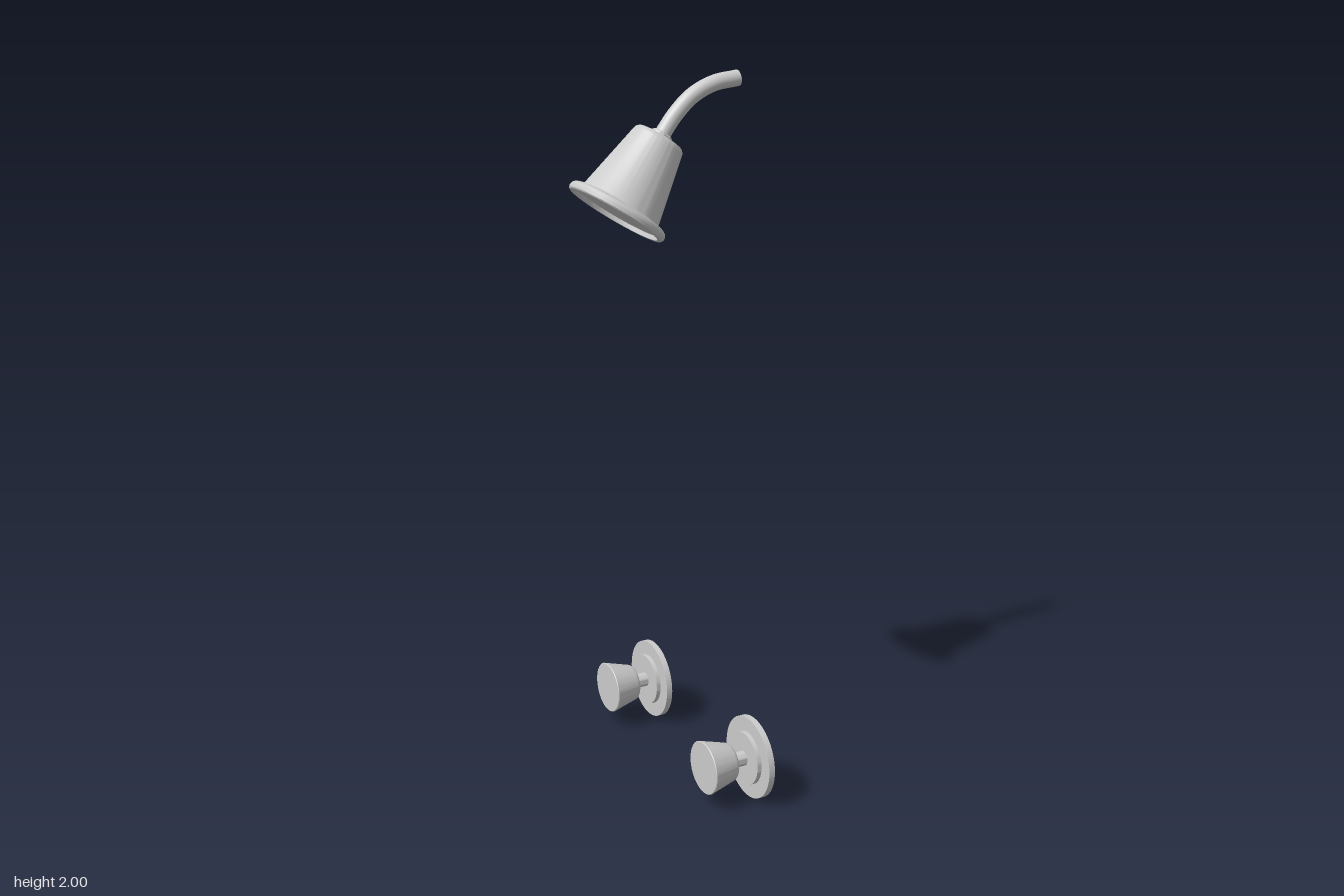
import * as THREE from 'three';
import { toCreasedNormals } from 'three/addons/utils/BufferGeometryUtils.js';

const material = new THREE.MeshStandardMaterial({ color: 0xcccccc, side: THREE.DoubleSide });

// Turned part: profile of [radius, distance along axis]
function turned(name, profile, segments = 64) {
  const points = profile.map(([r, t]) => new THREE.Vector2(r, t));
  const geometry = toCreasedNormals(new THREE.LatheGeometry(points, segments), 0.6);
  const mesh = new THREE.Mesh(geometry, material);
  mesh.name = name;
  return mesh;
}

function disc(name, radius, from, to) {
  return turned(name, [[0, from], [radius, from], [radius, to], [0, to]]);
}

// Tap handle: tapered grip, stem and wall plates along +x
function createTap(z, name) {
  const tap = new THREE.Group();
  tap.name = name;
  tap.add(
    turned('grip', [[0, 0], [0.074, 0], [0.076, 0.002], [0.055, 0.078], [0.053, 0.083], [0.049, 0.087], [0, 0.087]]),
    disc('stem', 0.021, 0.085, 0.132),
    disc('innerPlate', 0.076, 0.13, 0.144),
    disc('wallPlate', 0.118, 0.143, 0.161),
  );
  tap.rotation.z = -Math.PI / 2;
  tap.position.set(0, 0.12, z);
  return tap;
}

// Shower head: flared bell with rounded lip, recessed face and pipe collar
function createShowerHead() {
  const head = new THREE.Group();
  head.name = 'showerHead';
  head.add(
    turned('bell', [
      [0, 0.012], [0.125, 0.012], [0.128, 0], [0.138, 0], [0.142, 0.003], [0.144, 0.009],
      [0.143, 0.016], [0.139, 0.022], [0.132, 0.026], [0.124, 0.027], [0.117, 0.028], [0.113, 0.034],
      [0.074, 0.224], [0.072, 0.231], [0.066, 0.237], [0.060, 0.238], [0, 0.238],
    ], 80),
    turned('collar', [[0.026, 0.237], [0.030, 0.241], [0.030, 0.247], [0.026, 0.251], [0, 0.251]], 48),
  );
  head.rotation.z = -0.602;
  head.position.set(-0.125, 1.637, 0.02);
  return head;
}

// Curved supply pipe, open at the wall end
function createPipe() {
  const path = new THREE.CatmullRomCurve3([
    [0.010, 1.833], [0.022, 1.850], [0.055, 1.892], [0.106, 1.938], [0.17, 1.967], [0.244, 1.978],
  ].map(([x, y]) => new THREE.Vector3(x, y, 0.02)));
  const pipe = new THREE.Mesh(new THREE.TubeGeometry(path, 40, 0.022, 32), material);
  pipe.name = 'pipe';
  return pipe;
}

export function createModel() {
  const model = new THREE.Group();
  model.name = 'showerSet';
  model.add(createShowerHead(), createPipe());
  model.add(createTap(0.297, 'frontTap'), createTap(-0.301, 'backTap'));
  return model;
}
